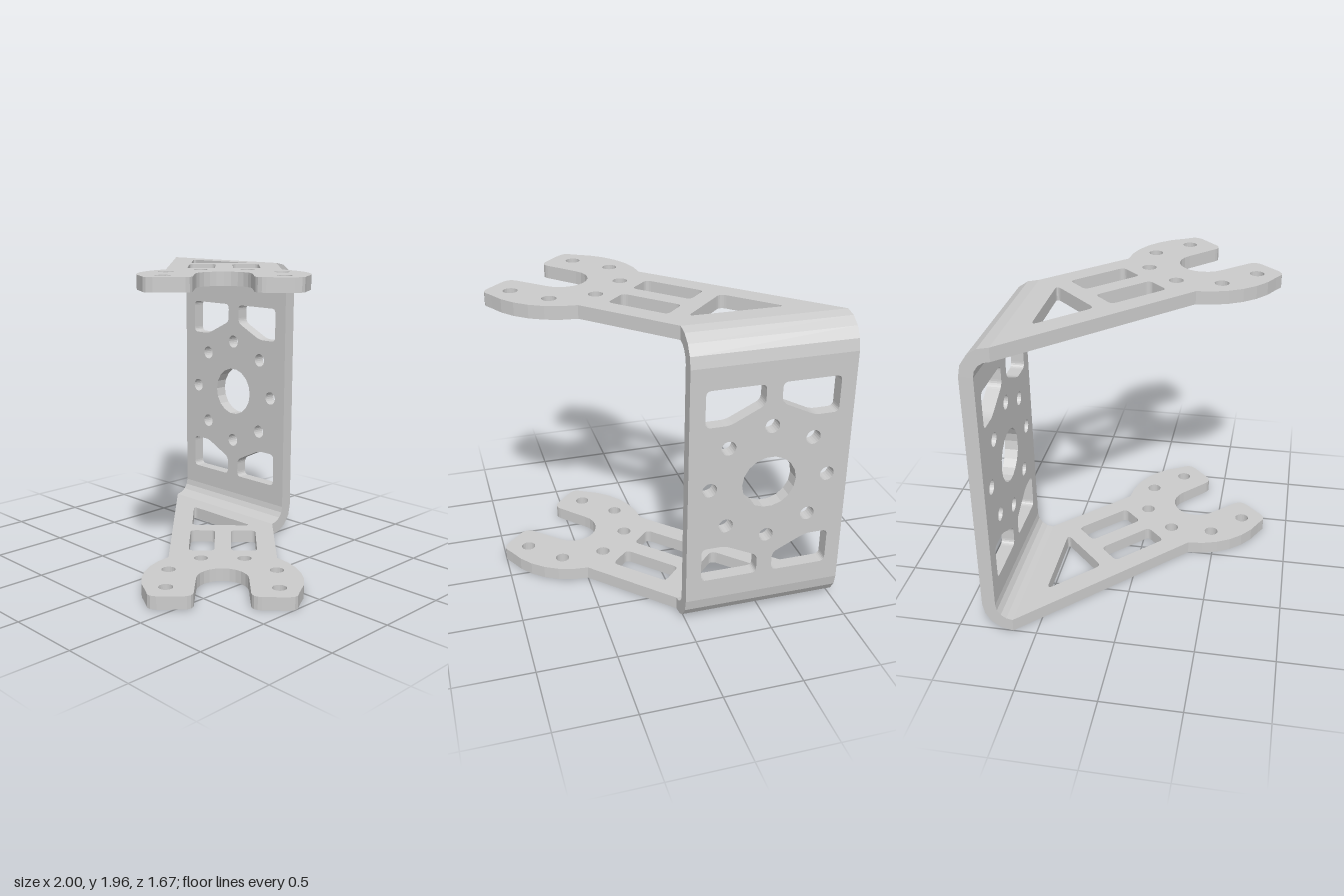
import * as THREE from 'three';

const T = 0.085, H = 1.96, BACK = -0.84, BEND_Z = -0.65, R = 0.19;
const X0 = -1, X1 = 0.02;

// Points along a circular arc, angles in degrees
function arc(cx, cy, r, a0, a1, n) {
  return Array.from({ length: n + 1 }, (_, i) => {
    const a = THREE.MathUtils.degToRad(a0 + (a1 - a0) * i / n);
    return [cx + r * Math.cos(a), cy + r * Math.sin(a)];
  });
}

const vectors = pts => pts.map(p => new THREE.Vector2(p[0], p[1]));
const circle = (x, y, r, n) => new THREE.Path(vectors(arc(x, y, r, 0, 360, n).slice(0, n)));

// Polygon whose corners are cut back by c and rounded
function rounded(pts, c) {
  const v = vectors(pts), path = new THREE.Path();
  v.forEach((p, i) => {
    const prev = v[(i + v.length - 1) % v.length], next = v[(i + 1) % v.length];
    const a = p.clone().add(prev.clone().sub(p).setLength(c));
    const b = p.clone().add(next.clone().sub(p).setLength(c));
    if (i) path.lineTo(a.x, a.y); else path.moveTo(a.x, a.y);
    path.quadraticCurveTo(p.x, p.y, b.x, b.y);
  });
  path.closePath();
  return path;
}

const extrude = (shape, depth) =>
  new THREE.ExtrudeGeometry(shape, { depth, bevelEnabled: false, curveSegments: 5 });

// Fork arm outline drawn in x and z, symmetric about the line z = x - 0.165 at the fork
function armGeometry() {
  const cx = 0.5, cz = 0.335;
  const mirror = ([x, z]) => [z + 0.165, x - 0.165];
  const prong = [
    ...arc(cx, cz, 0.505, -90, -22, 6),
    [1, 0.2], [1, 0.225], [0.98, 0.26],
    [0.865, 0.37], [0.845, 0.384], [0.82, 0.39], [0.797, 0.384], [0.78, 0.372],
  ];
  const shape = new THREE.Shape(vectors([
    [X0, BEND_Z], [X1, BEND_Z],
    ...prong,
    ...arc(cx, cz, 0.165, -45, -225, 12),
    ...prong.map(mirror).reverse(),
  ]));
  // Bolt holes around the fork
  for (let i = 0; i < 6; i++) {
    const [x, z] = arc(cx, cz, 0.373, -22.5 - 45 * i, 0, 1)[0];
    shape.holes.push(circle(x, z, 0.046, 20));
  }
  // Triangular window and two slanted windows
  shape.holes.push(rounded([[-0.665, -0.515], [-0.065, -0.515], [-0.365, -0.215]], 0.045));
  const slanted = [[-0.42, -0.085], [0.15, -0.085], [0.15, 0.16], [-0.42, 0.16]]
    .map(([u, d]) => [(u - d) / 2, (u + d) / 2]);
  shape.holes.push(rounded(slanted, 0.035), rounded(slanted.map(mirror), 0.035));
  return extrude(shape, T).rotateX(Math.PI / 2).translate(0, T, 0);
}

// Upright plate with centre bore, bolt circle and four corner windows
function plateGeometry() {
  const cx = (X0 + X1) / 2, cy = H / 2;
  const shape = new THREE.Shape(vectors([[X0, R], [X1, R], [X1, H - R], [X0, H - R]]));
  shape.holes.push(circle(cx, cy, 0.172, 18));
  for (let i = 0; i < 8; i++) {
    const [x, y] = arc(cx, cy, 0.376, i * 45, 0, 1)[0];
    shape.holes.push(circle(x, y, 0.046, 20));
  }
  const corner = [[0.05, 0.65], [0.415, 0.65], [0.415, 0.415], [0.265, 0.415], [0.05, 0.52]];
  for (const sx of [-1, 1]) for (const sy of [-1, 1]) {
    shape.holes.push(rounded(corner.map(([x, y]) => [cx + sx * x, cy + sy * y]), 0.035));
  }
  return extrude(shape, T).translate(0, 0, BACK);
}

// Quarter bend joining the plate to an arm, drawn in z and y
function bendGeometry(y, a0, a1) {
  const shape = new THREE.Shape(vectors([
    ...arc(BEND_Z, y, R, a0, a1, 4),
    ...arc(BEND_Z, y, R - T, a1, a0, 4),
  ]));
  return extrude(shape, X1 - X0).rotateY(-Math.PI / 2).translate(X1, 0, 0);
}

export function createModel() {
  const group = new THREE.Group();
  group.name = 'bracket';
  const material = new THREE.MeshStandardMaterial({ color: 0xcccccc });
  const add = (name, geometry, y = 0) => {
    const mesh = new THREE.Mesh(geometry, material);
    mesh.name = name;
    mesh.position.y = y;
    group.add(mesh);
  };
  const arm = armGeometry();
  add('backPlate', plateGeometry());
  add('lowerArm', arm);
  add('upperArm', arm, H - T);
  add('lowerBend', bendGeometry(R, 180, 270));
  add('upperBend', bendGeometry(H - R, 90, 180));
  return group;
}
